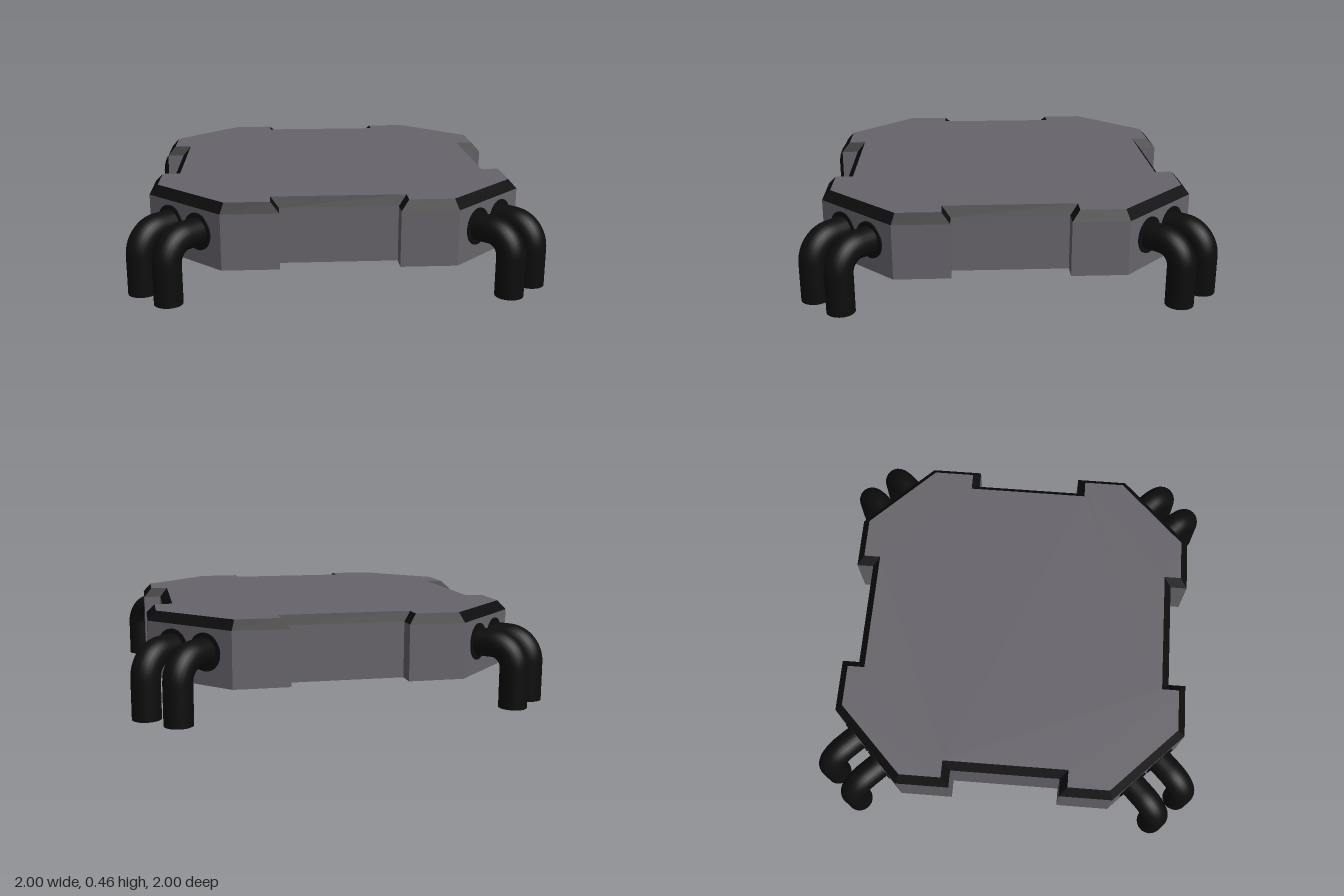
import * as THREE from 'three';

// Notched octagon, counter-clockwise, shrunk evenly by inset
function outline(inset) {
  const a = 0.91 - inset;
  const c = 1.46 - inset * Math.SQRT2 - a;
  const n = 0.28 + inset;
  const d = 0.822 - inset;
  let quarter = [[d, n], [a, n], [a, c], [c, a], [n, a], [n, d]];
  const pts = [];
  for (let q = 0; q < 4; q++) {
    pts.push(...quarter.map(([x, y]) => new THREE.Vector2(x, y)));
    quarter = quarter.map(([x, y]) => [-y, x]);
  }
  return pts;
}

// Sloped band between the outer and inner outlines
function bevelGeometry(outer, inner, y0, y1) {
  const pos = [];
  const put = (p, y) => pos.push(p.x, y, -p.y);
  outer.forEach((o, i) => {
    const j = (i + 1) % outer.length;
    put(o, y0); put(outer[j], y0); put(inner[j], y1);
    put(o, y0); put(inner[j], y1); put(inner[i], y1);
  });
  const geo = new THREE.BufferGeometry();
  geo.setAttribute('position', new THREE.Float32BufferAttribute(pos, 3));
  geo.computeVertexNormals();
  return geo;
}

export function createModel() {
  const model = new THREE.Group();
  model.name = 'platform';
  const grey = new THREE.MeshStandardMaterial({ color: 0x67646b });
  grey.name = 'slateGrey';
  const black = new THREE.MeshStandardMaterial({ color: 0x0d0d0d });
  black.name = 'black';

  const add = (parent, name, geo, mat) => {
    const mesh = new THREE.Mesh(geo, mat);
    mesh.name = name;
    parent.add(mesh);
    return mesh;
  };

  // Slab, bevelled trim and top panel
  const base = 0.145, rim = 0.415, top = 0.46;
  const outer = outline(0), inner = outline(0.04);
  const slab = new THREE.ExtrudeGeometry(new THREE.Shape(outer), { depth: rim - base, bevelEnabled: false });
  slab.rotateX(-Math.PI / 2).translate(0, base, 0);
  add(model, 'slab', slab, grey);
  add(model, 'bevelTrim', bevelGeometry(outer, inner, rim, top), black);
  const panel = new THREE.ShapeGeometry(new THREE.Shape(inner));
  panel.rotateX(-Math.PI / 2).translate(0, top, 0);
  add(model, 'topPanel', panel, grey);

  // Bent pipe, running outward along +x and then down to the ground
  const axisY = 0.302, radius = 0.068, bend = 0.11, reach = 1.221, face = 1.032;
  const path = new THREE.CurvePath();
  const start = new THREE.Vector3(face - 0.05, axisY, 0);
  const bendIn = new THREE.Vector3(reach - bend, axisY, 0);
  const bendOut = new THREE.Vector3(reach, axisY - bend, 0);
  const k = bend * 0.5523;
  path.add(new THREE.LineCurve3(start, bendIn));
  path.add(new THREE.CubicBezierCurve3(
    bendIn,
    new THREE.Vector3(bendIn.x + k, axisY, 0),
    new THREE.Vector3(reach, bendOut.y + k, 0),
    bendOut
  ));
  path.add(new THREE.LineCurve3(bendOut, new THREE.Vector3(reach, 0, 0)));
  const pipe = new THREE.TubeGeometry(path, 40, radius, 24, false);
  const foot = new THREE.CircleGeometry(radius, 24).rotateX(Math.PI / 2).translate(reach, 0, 0);
  const collar = new THREE.CylinderGeometry(0.09, 0.09, 0.008, 32)
    .rotateZ(Math.PI / 2).translate(face + 0.002, axisY, 0);

  // A pair of pipe legs at each chamfered corner
  for (let i = 0; i < 4; i++) {
    const corner = new THREE.Group();
    corner.name = 'cornerLegs' + (i + 1);
    corner.rotation.y = Math.PI / 4 + i * Math.PI / 2;
    for (const side of [-1, 1]) {
      const leg = new THREE.Group();
      leg.name = side < 0 ? 'legA' : 'legB';
      leg.position.z = side * 0.097;
      add(leg, 'pipe', pipe, black);
      add(leg, 'footCap', foot, black);
      add(leg, 'collar', collar, black);
      corner.add(leg);
    }
    model.add(corner);
  }
  return model;
}
